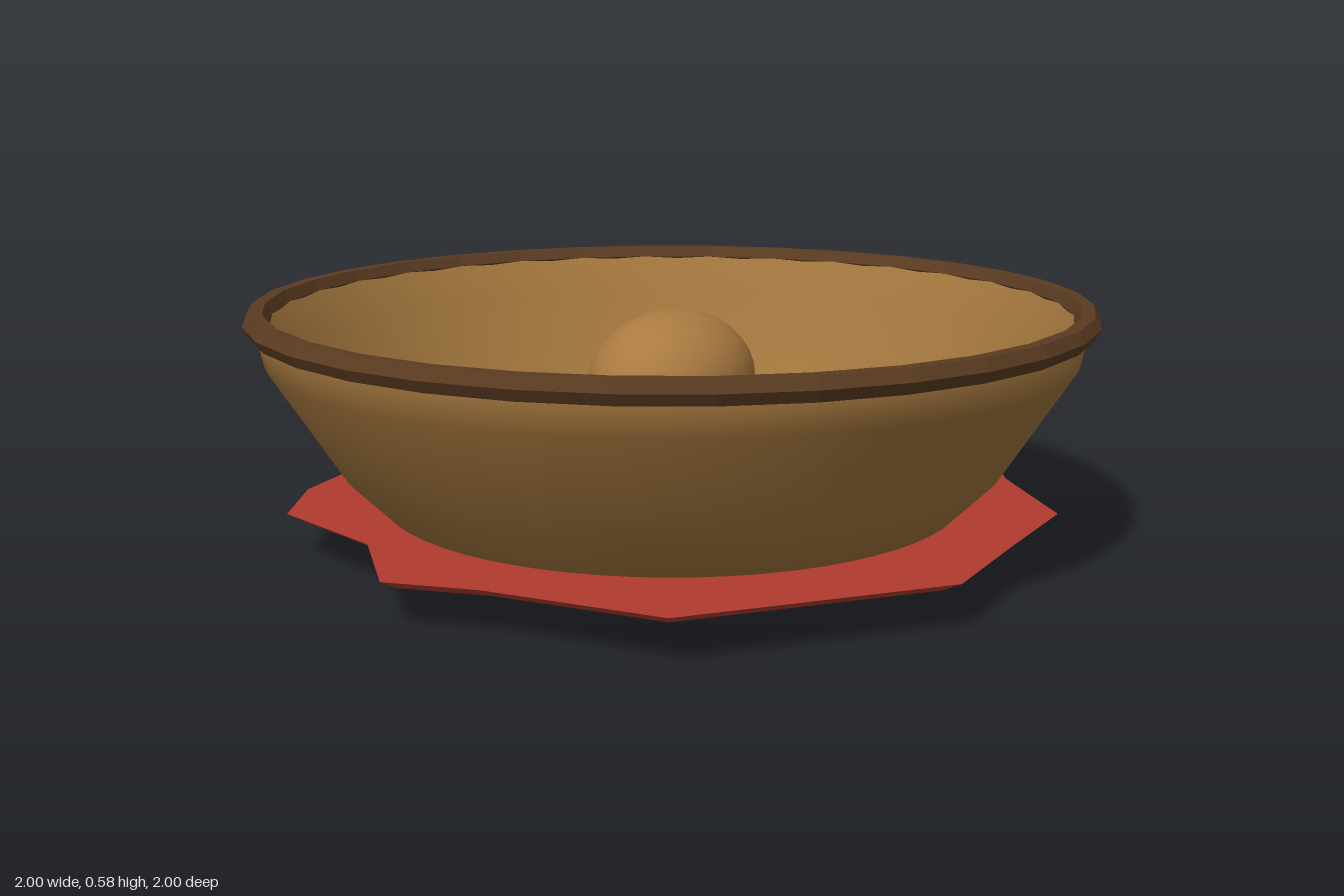
import * as THREE from 'three';

const material = (name, color, extra = {}) => {
  const m = new THREE.MeshStandardMaterial({ color, ...extra });
  m.name = name;
  return m;
};

export function createModel() {
  const group = new THREE.Group();
  group.name = 'potatoBowl';
  const wood = material('wood', 0xa0743c);
  const darkWood = material('darkWood', 0x5a3b21, { flatShading: true });
  const red = material('redCloth', 0xb03a2e, { flatShading: true });
  const skin = material('potatoSkin', 0xaa7a41);

  const add = (name, geometry, mat) => {
    const mesh = new THREE.Mesh(geometry, mat);
    mesh.name = name;
    group.add(mesh);
    return mesh;
  };

  // Bowl: outer wall up from the base, then the inner wall back down to the floor
  const profile = [
    [0, 0], [0.59, 0], [0.79, 0.2], [0.955, 0.46], [0.975, 0.555],
    [0.94, 0.555], [0.905, 0.46], [0.735, 0.22], [0.575, 0.05], [0, 0.05],
  ].map(([r, y]) => new THREE.Vector2(r, y));
  add('bowl', new THREE.LatheGeometry(profile, 64), wood);

  // Six-sided rim ring
  const rim = add('rim', new THREE.TorusGeometry(0.97, 0.03, 6, 32), darkWood);
  rim.rotation.x = -Math.PI / 2;
  rim.position.y = 0.555;

  // Cloth: thin tapered disc with an uneven edge, as [angle from +x towards +z, radius]
  const edge = [
    [90, 0.945], [72, 0.88], [52, 0.92], [31, 0.84], [12.6, 0.935], [-1.5, 0.89],
    [-13, 0.86], [-26, 0.94], [-39, 0.88], [-50, 0.86], [-64, 0.93], [-77, 0.915],
    [-90, 0.86], [-105, 0.9], [-116, 0.91], [-128, 0.84], [-141, 0.89], [-155, 0.92],
    [-176, 0.81], [-192, 0.94], [-205, 0.87], [-231, 0.95],
  ];
  const n = edge.length;
  const clothGeo = new THREE.CylinderGeometry(1, 0.95, 0.025, n, 1);
  const p = clothGeo.attributes.position;
  for (let i = 0; i < p.count; i++) {
    const x = p.getX(i), z = p.getZ(i), scale = Math.hypot(x, z);
    if (scale < 0.01) continue;
    const k = Math.round((Math.atan2(x, z) / (2 * Math.PI)) * n + n) % n;
    const a = THREE.MathUtils.degToRad(edge[k][0]);
    const r = edge[k][1] * scale;
    p.setXYZ(i, r * Math.cos(a), p.getY(i), r * Math.sin(a));
  }
  clothGeo.computeVertexNormals();
  add('cloth', clothGeo, red).position.y = 0.094;

  // Potatoes: [x, y, z, half length, half height, half width, turn in degrees]
  const potatoes = [
    [-0.33, 0.225, -0.2, 0.27, 0.17, 0.21, -10],
    [0.26, 0.225, -0.335, 0.275, 0.17, 0.2, 53],
    [-0.265, 0.225, 0.325, 0.27, 0.17, 0.21, -8],
    [0.39, 0.23, 0.26, 0.275, 0.17, 0.205, -62],
    [0, 0.38, 0, 0.26, 0.17, 0.19, 29],
  ];
  const ball = new THREE.SphereGeometry(1, 24, 16);
  potatoes.forEach(([x, y, z, a, b, c, turn], i) => {
    const potato = add(`potato${i + 1}`, ball, skin);
    potato.position.set(x, y, z);
    potato.scale.set(a, b, c);
    potato.rotation.y = THREE.MathUtils.degToRad(turn);
  });

  return group;
}
